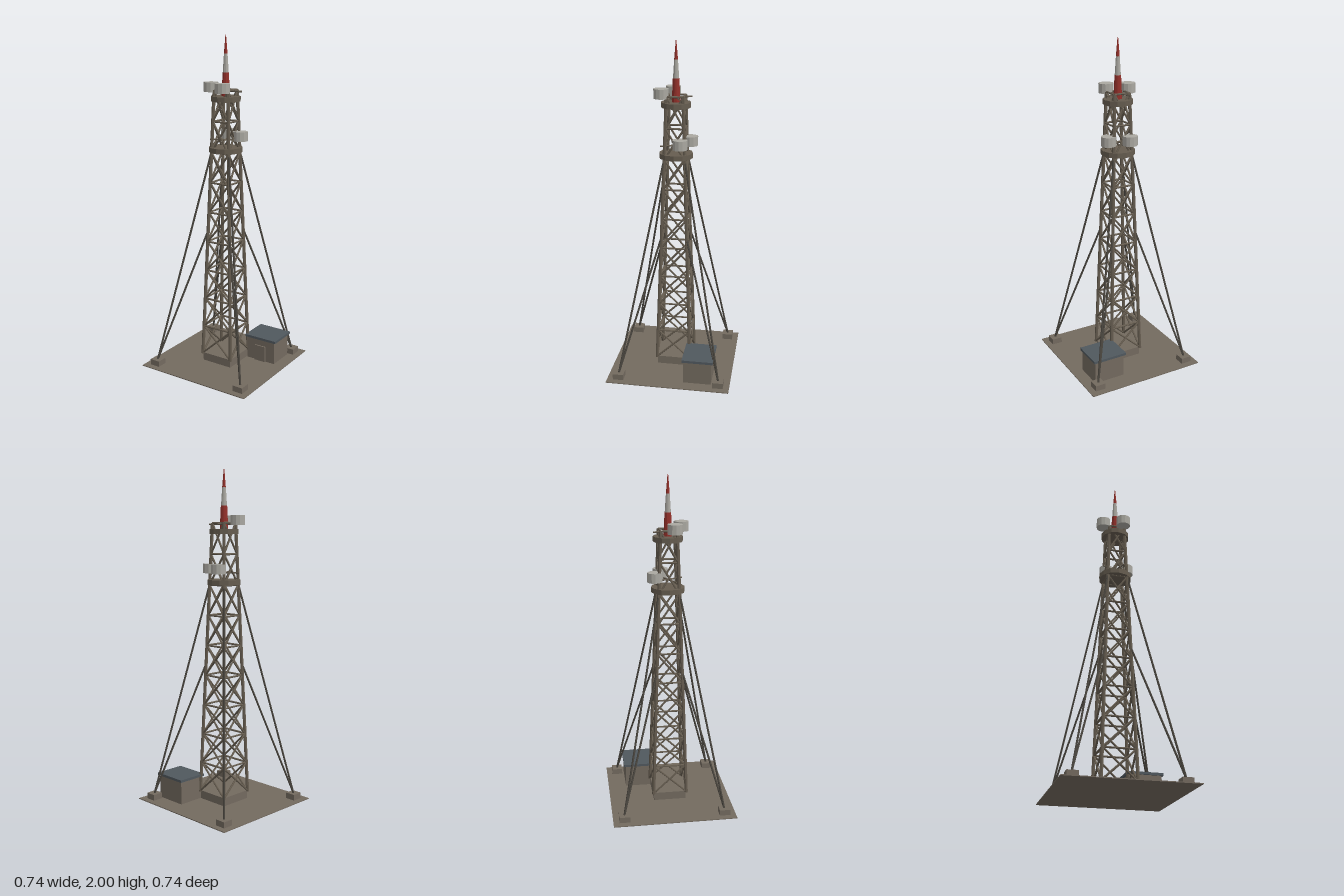
import * as THREE from 'three';

const mat = (name, color) => {
  const m = new THREE.MeshStandardMaterial({ color, flatShading: true });
  m.name = name;
  return m;
};

export function createModel() {
  const concrete = mat('concrete', 0x736a5f);
  const steel = mat('tower steel', 0x665d50);
  const cable = mat('guy cable', 0x4a463f);
  const slate = mat('slate roof', 0x50585e);
  const red = mat('mast red', 0x93302a);
  const pale = mat('pale grey', 0xaaa8a1);

  const model = new THREE.Group();
  model.name = 'radioTower';
  const group = (name) => {
    const g = new THREE.Group();
    g.name = name;
    model.add(g);
    return g;
  };
  const add = (parent, name, geo, material, x = 0, y = 0, z = 0) => {
    const m = new THREE.Mesh(geo, material);
    m.name = name;
    m.position.set(x, y, z);
    parent.add(m);
    return m;
  };
  // box given by its limits
  const box = (parent, name, material, x0, x1, y0, y1, z0, z1) =>
    add(parent, name, new THREE.BoxGeometry(x1 - x0, y1 - y0, z1 - z0), material,
      (x0 + x1) / 2, (y0 + y1) / 2, (z0 + z1) / 2);
  // straight bar between two points
  const bar = (parent, name, a, b, r, material, sides = 6) => {
    const d = b.clone().sub(a);
    const m = add(parent, name, new THREE.CylinderGeometry(r, r, d.length(), sides), material);
    m.position.copy(a).add(b).multiplyScalar(0.5);
    m.quaternion.setFromUnitVectors(new THREE.Vector3(0, 1, 0), d.normalize());
    return m;
  };
  // upright drum between two heights
  const drum = (parent, name, material, r0, r1, y0, y1, sides, x = 0, z = 0) =>
    add(parent, name, new THREE.CylinderGeometry(r1, r0, y1 - y0, sides), material, x, (y0 + y1) / 2, z);

  // ground slab and tower footing
  box(model, 'groundSlab', concrete, -0.372, 0.372, 0, 0.005, -0.372, 0.372);
  box(model, 'towerFooting', concrete, -0.1, 0.1, 0.005, 0.055, -0.1, 0.1);

  // tapering lattice tower
  const Y0 = 0.055, Y1 = 1.69, BAYS = 9;
  const halfAt = (y) => THREE.MathUtils.lerp(0.103, 0.048, (y - Y0) / (Y1 - Y0));
  const signs = [[1, 1], [1, -1], [-1, -1], [-1, 1]];
  const corner = (i, y) => {
    const [sx, sz] = signs[i % 4], h = halfAt(y);
    return new THREE.Vector3(sx * h, y, sz * h);
  };
  const lattice = group('latticeTower');
  for (let i = 0; i < 4; i++) {
    bar(lattice, 'leg', corner(i, Y0 - 0.005), corner(i, Y1), 0.01, steel);
    for (let b = 0; b < BAYS; b++) {
      const lo = Y0 + (Y1 - Y0) * b / BAYS;
      const hi = Y0 + (Y1 - Y0) * (b + 1) / BAYS;
      bar(lattice, 'brace', corner(i, lo), corner(i + 1, hi), 0.006, steel);
      bar(lattice, 'brace', corner(i + 1, lo), corner(i, hi), 0.006, steel);
      bar(lattice, 'crossbar', corner(i, hi), corner(i + 1, hi), 0.006, steel);
    }
  }

  // round service platforms
  drum(model, 'lowerPlatform', steel, 0.1, 0.1, 1.328, 1.358, 12);
  drum(model, 'upperPlatform', steel, 0.087, 0.087, 1.625, 1.655, 12);

  // drum antennas with their mounting arms
  const antennas = group('antennas');
  const drums = [[-0.083, 1.678, 0.03], [0.032, 1.678, 0.082], [0.08, 1.395, -0.035], [-0.036, 1.395, -0.081]];
  for (const [x, y, z] of drums) {
    drum(antennas, 'antennaDrum', pale, 0.044, 0.044, y, y + 0.056, 12, x, z);
    const end = new THREE.Vector3(x, y + 0.005, z);
    const far = new THREE.Vector3(-x * 1.08, y + 0.005, -z * 1.08);
    bar(antennas, 'mountingArm', far, end, 0.005, steel);
  }

  // striped mast
  const mast = group('mast');
  drum(mast, 'mastBottom', red, 0.025, 0.019, 1.655, 1.79, 10);
  drum(mast, 'mastMiddle', pale, 0.018, 0.011, 1.79, 1.895, 10);
  drum(mast, 'mastTip', red, 0.011, 0.002, 1.895, 2, 10);

  // guy cables and anchor blocks
  const guys = group('guyCables');
  signs.forEach(([sx, sz], i) => {
    const x = sx * 0.304, z = sz * 0.304;
    box(guys, 'anchorBlock', concrete, x - 0.032, x + 0.032, 0.005, 0.04, z - 0.032, z + 0.032);
    const foot = new THREE.Vector3(x, 0.038, z);
    for (const y of [0.85, 1.33]) bar(guys, 'guyCable', foot, corner(i, y), 0.006, cable);
  });

  // equipment hut
  const hut = group('hut');
  box(hut, 'hutWalls', concrete, 0.105, 0.3, 0.005, 0.145, -0.26, -0.09);
  box(hut, 'hutRoof', slate, 0.095, 0.31, 0.145, 0.16, -0.27, -0.082);
  box(hut, 'hutDoor', concrete, 0.165, 0.238, 0.005, 0.105, -0.09, -0.081);

  return model;
}
